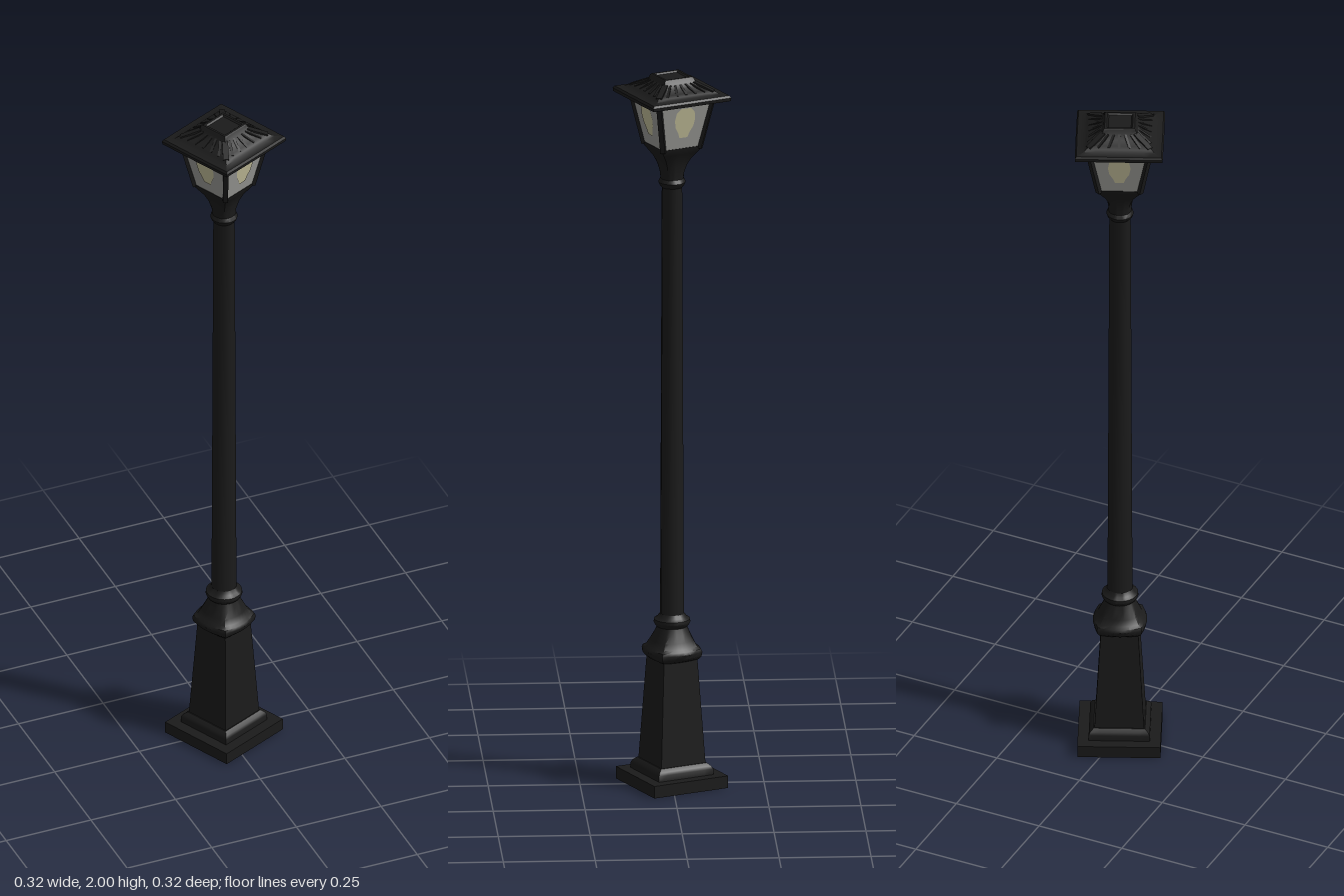
import * as THREE from 'three';
import { toCreasedNormals } from 'three/addons/utils/BufferGeometryUtils.js';

const black = new THREE.MeshStandardMaterial({ color: 0x1b1b1b });
black.name = 'blackIron';
const glass = new THREE.MeshStandardMaterial({ color: 0x9c9c98, side: THREE.DoubleSide });
glass.name = 'greyGlass';
const cream = new THREE.MeshStandardMaterial({ color: 0xc6c19c, side: THREE.DoubleSide });
cream.name = 'creamBulb';

// Stack of sections [y, half width, squareness 0..1], joined into one skin
function loft(sections, sides = 32, crease = 0.6) {
  const pos = [], index = [];
  for (const [y, h, s] of sections) {
    for (let j = 0; j < sides; j++) {
      const a = (j / sides) * Math.PI * 2;
      const c = Math.cos(a), d = Math.sin(a);
      const r = h * (1 - s + s / Math.max(Math.abs(c), Math.abs(d)));
      pos.push(c * r, y, d * r);
    }
  }
  for (let i = 0; i < sections.length - 1; i++) {
    for (let j = 0; j < sides; j++) {
      const k = (j + 1) % sides;
      const a = i * sides + j, b = i * sides + k;
      const c = a + sides, d = b + sides;
      if (sections[i][1] > 0) index.push(a, c, b);
      if (sections[i + 1][1] > 0) index.push(b, c, d);
    }
  }
  const g = new THREE.BufferGeometry();
  g.setAttribute('position', new THREE.Float32BufferAttribute(pos, 3));
  g.setIndex(index);
  return toCreasedNormals(g, crease);
}

export function createModel() {
  const root = new THREE.Group();
  root.name = 'lampPost';
  const add = (name, geometry, material = black, parent = root) => {
    const m = new THREE.Mesh(geometry, material);
    m.name = name;
    parent.add(m);
    return m;
  };
  // Straight bar between two points of its parent
  const up = new THREE.Vector3(0, 1, 0);
  const bar = (name, from, to, w, t, parent) => {
    const a = new THREE.Vector3(...from), b = new THREE.Vector3(...to);
    const m = add(name, new THREE.BoxGeometry(w, t, a.distanceTo(b)), black, parent);
    m.quaternion.setFromRotationMatrix(new THREE.Matrix4().lookAt(b, a, up));
    m.position.copy(a).add(b).multiplyScalar(0.5);
  };

  // Stepped square foot
  add('plinth', loft([[0, 0, 1], [0, 0.113, 1], [0.034, 0.113, 1], [0.034, 0, 1]]));
  add('footStep', loft([
    [0.03, 0.083, 1], [0.05, 0.083, 1], [0.058, 0.079, 1], [0.066, 0.07, 1], [0.066, 0, 1],
  ]));
  add('pedestal', loft([[0.055, 0.068, 1], [0.36, 0.051, 1]]));

  // Moulding that turns the square pedestal into the round pole
  add('pedestalMoulding', loft([
    [0.35, 0.045, 0.9], [0.358, 0.062, 0.6], [0.366, 0.071, 0.45], [0.378, 0.074, 0.4],
    [0.386, 0.071, 0.4], [0.392, 0.063, 0.35], [0.408, 0.056, 0.25], [0.428, 0.047, 0.15],
    [0.445, 0.041, 0], [0.45, 0.046, 0], [0.458, 0.05, 0], [0.466, 0.049, 0],
    [0.472, 0.04, 0], [0.482, 0.034, 0],
  ]));

  // Faceted, slightly tapered pole
  add('pole', loft([[0.46, 0.034, 0], [1.71, 0.029, 0]], 8, 0.9));

  // Collar and flare below the lantern
  add('poleCollar', loft([
    [1.685, 0.028, 0], [1.692, 0.034, 0], [1.7, 0.037, 0], [1.708, 0.034, 0], [1.714, 0.028, 0],
  ]));
  add('lanternCup', loft([
    [1.7, 0.031, 0], [1.725, 0.032, 0.1], [1.75, 0.036, 0.4], [1.77, 0.042, 0.7],
    [1.788, 0.051, 0.95], [1.8, 0.058, 1], [1.808, 0.06, 1], [1.808, 0, 1],
  ]));

  // Lantern pane and the bulb showing in it, drawn flat about the pane centre
  const low = 0.058, high = 0.084, y0 = 1.806, y1 = 1.942;
  const half = Math.hypot(y1 - y0, high - low) / 2;
  const paneShape = new THREE.Shape([[-low, -half], [low, -half], [high, half], [-high, half]]
    .map(([x, y]) => new THREE.Vector2(x, y)));
  const bulbHalf = [[0.012, -0.034], [0.017, -0.02], [0.027, -0.002], [0.031, 0.02], [0.027, 0.042], [0.015, 0.054]];
  const bulbShape = new THREE.Shape([...bulbHalf, ...bulbHalf.map(([x, y]) => [-x, y]).reverse()]
    .map(([x, y]) => new THREE.Vector2(x, y)));
  const paneGeometry = new THREE.ShapeGeometry(paneShape);
  const bulbGeometry = new THREE.ShapeGeometry(bulbShape);

  // One lantern side repeated four times
  for (let i = 0; i < 4; i++) {
    const side = new THREE.Group();
    side.name = 'lanternSide';
    side.rotation.y = (i * Math.PI) / 2;
    root.add(side);

    const window = new THREE.Group();
    window.name = 'lanternWindow';
    window.position.set(0, (y0 + y1) / 2, (low + high) / 2);
    window.rotation.x = Math.atan2(high - low, y1 - y0);
    side.add(window);
    add('glassPane', paneGeometry, glass, window);
    add('bulb', bulbGeometry, cream, window).position.z = 0.002;

    bar('cornerPost', [low - 0.003, y0 - 0.004, low - 0.003], [high - 0.003, y1, high - 0.003], 0.014, 0.014, side);
    bar('topRail', [-high, y1 - 0.003, high - 0.003], [high, y1 - 0.003, high - 0.003], 0.01, 0.01, side);

    // Raised ribs fanning down the roof
    for (const t of [-0.7, -0.35, 0, 0.35, 0.7]) {
      bar('roofRib', [t * 0.044, 1.984, 0.048], [t * 0.082, 1.964, 0.084], 0.007, 0.006, side);
    }
    bar('roofHip', [0.044, 1.986, 0.044], [0.084, 1.964, 0.084], 0.016, 0.006, side);
  }

  // Square roof with turned eave and shallow dished cap
  add('roof', loft([
    [1.942, 0, 1], [1.939, 0.113, 1], [1.941, 0.119, 0.98], [1.95, 0.12, 0.98],
    [1.956, 0.116, 0.98], [1.958, 0.096, 1], [1.963, 0.09, 1], [1.968, 0.08, 1],
    [1.976, 0.062, 1], [1.988, 0.047, 1], [1.997, 0.044, 1], [2, 0.041, 1],
    [2, 0.035, 1], [1.996, 0.031, 1], [1.996, 0, 1],
  ]));

  // The whole post stands turned on its axis
  root.rotation.y = THREE.MathUtils.degToRad(24.5);
  const model = new THREE.Group();
  model.name = 'streetLamp';
  model.add(root);
  return model;
}
